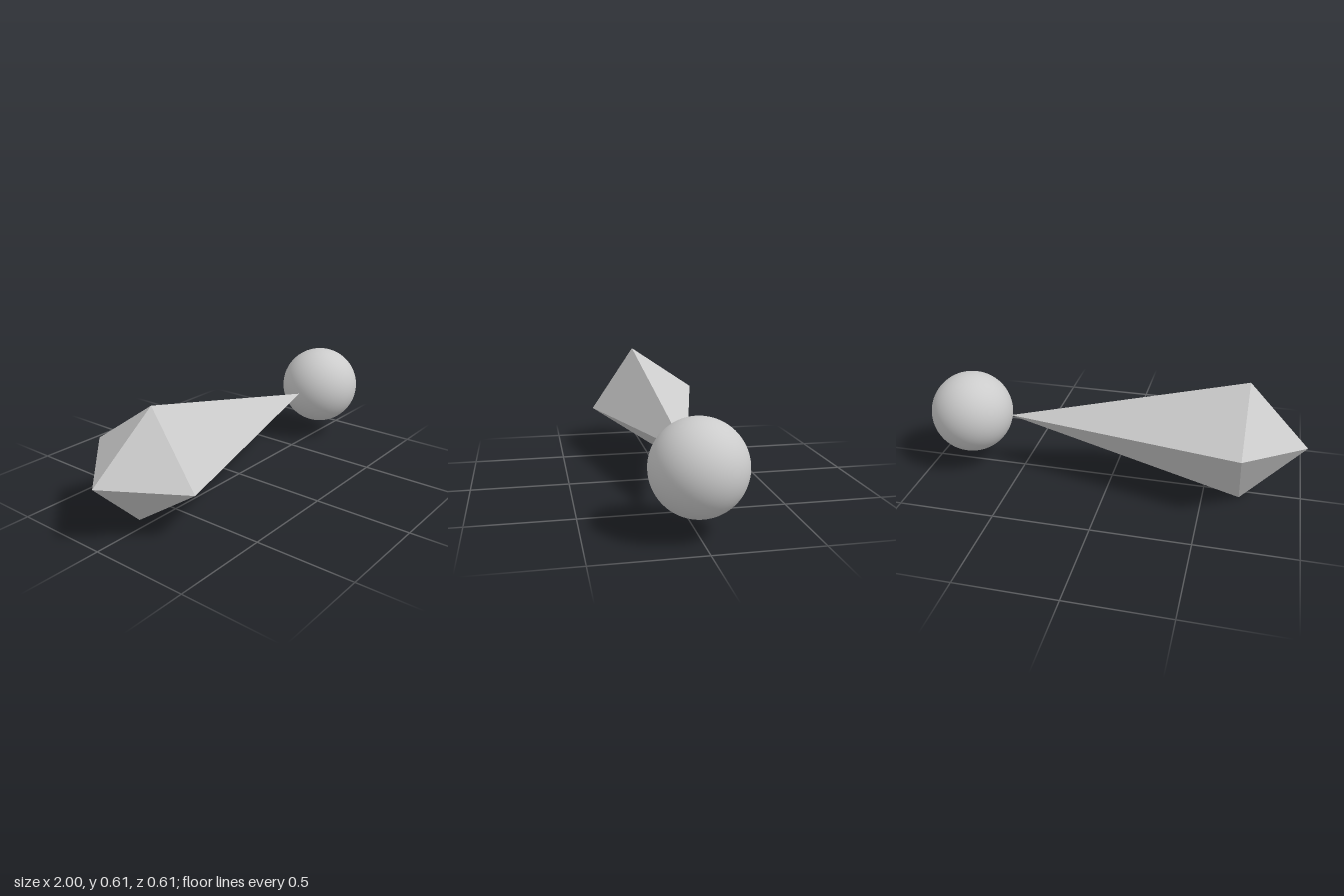
import * as THREE from 'three';
import { ConvexGeometry } from 'three/addons/geometries/ConvexGeometry.js';

export function createModel() {
  const model = new THREE.Group();
  model.name = 'boneWithJoint';
  const axisY = 0.305;

  // Four-sided double pyramid lying along x, twisted slightly about its axis
  const ringRadius = 0.3085, twist = 0.188;
  const corners = [new THREE.Vector3(-1, 0, 0), new THREE.Vector3(0.562, 0, 0)];
  for (let i = 0; i < 4; i++) {
    const a = (i * Math.PI) / 2 - twist;
    corners.push(new THREE.Vector3(-0.688, ringRadius * Math.sin(a), ringRadius * Math.cos(a)));
  }
  const bone = new THREE.Mesh(
    new ConvexGeometry(corners),
    new THREE.MeshStandardMaterial({ color: 0xcccccc, flatShading: true })
  );
  bone.name = 'bone';
  bone.position.y = axisY;

  // Smooth ball touching the long tip
  const joint = new THREE.Mesh(
    new THREE.SphereGeometry(0.218, 64, 40),
    new THREE.MeshStandardMaterial({ color: 0xcccccc })
  );
  joint.name = 'jointBall';
  joint.position.set(0.782, axisY, 0);

  model.add(bone, joint);
  return model;
}
